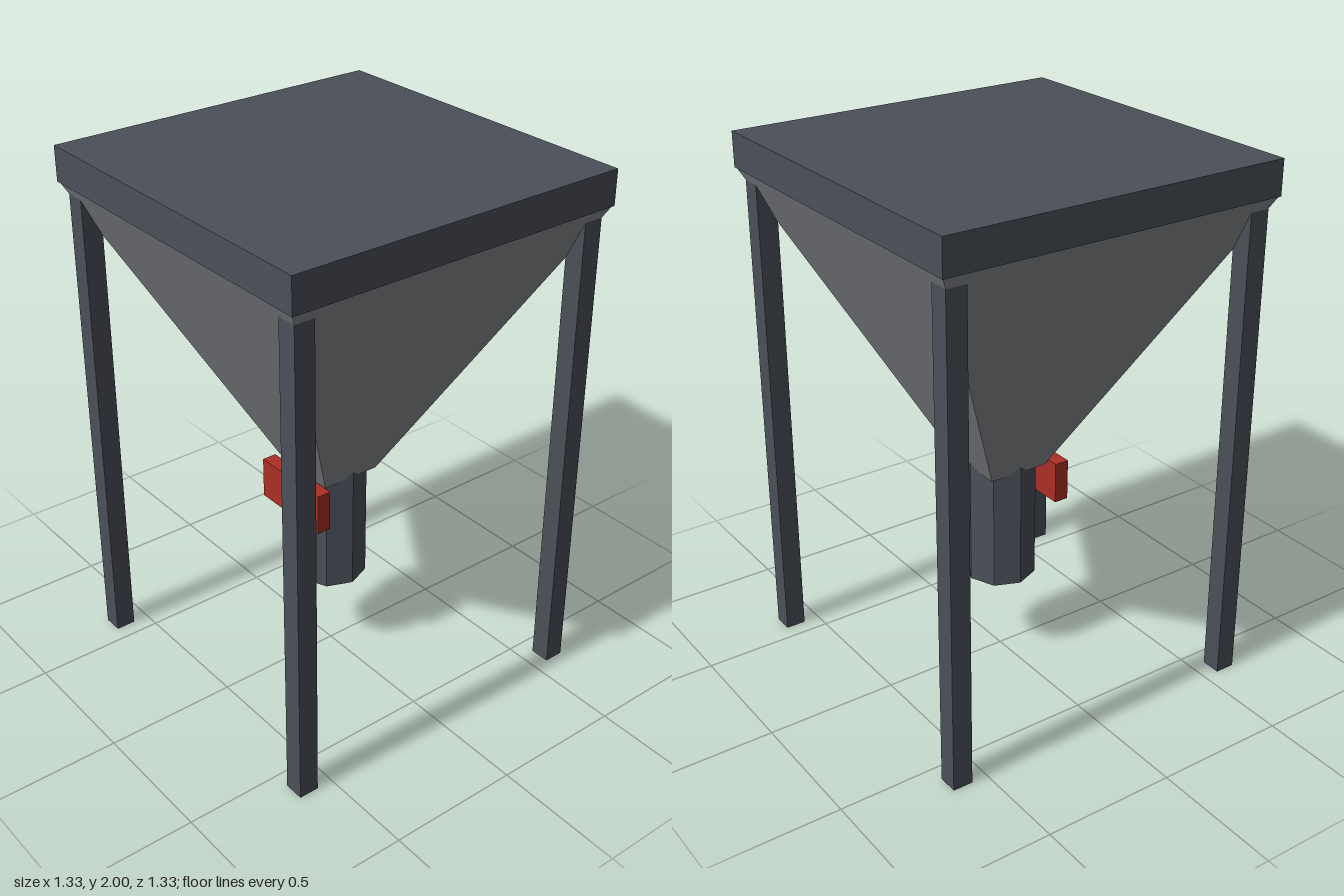
import * as THREE from 'three';

export function createModel() {
  const group = new THREE.Group();
  group.name = 'hopper';
  const darkSteel = new THREE.MeshStandardMaterial({ name: 'dark steel', color: 0x4b5059 });
  const paleSteel = new THREE.MeshStandardMaterial({ name: 'pale steel', color: 0x888b8f });
  const red = new THREE.MeshStandardMaterial({ name: 'red', color: 0xac3025 });

  const add = (name, geometry, material, x, y, z) => {
    const mesh = new THREE.Mesh(geometry, material);
    mesh.name = name;
    mesh.position.set(x, y, z);
    group.add(mesh);
    return mesh;
  };

  // Lid
  add('lid', new THREE.BoxGeometry(1.33, 0.13, 1.33), darkSteel, 0, 1.935, 0);

  // Square funnel: a box whose lower face is narrowed
  const topHalf = 0.66, bottomHalf = 0.117, funnelHeight = 1.07;
  const funnel = new THREE.BoxGeometry(2, funnelHeight, 2);
  const p = funnel.attributes.position;
  for (let i = 0; i < p.count; i++) {
    const half = p.getY(i) > 0 ? topHalf : bottomHalf;
    p.setX(i, p.getX(i) * half);
    p.setZ(i, p.getZ(i) * half);
  }
  funnel.computeVertexNormals();
  add('funnel', funnel, paleSteel, 0, 0.8 + funnelHeight / 2, 0);

  // Four legs
  const leg = new THREE.BoxGeometry(0.076, 1.83, 0.076);
  for (const x of [-0.6, 0.6]) {
    for (const z of [-0.6, 0.6]) add('leg', leg, darkSteel, x, 0.915, z);
  }

  // Eight-sided outlet pipe, its upper end inside the funnel
  const pipe = new THREE.CylinderGeometry(0.133, 0.133, 0.53, 8).toNonIndexed();
  pipe.computeVertexNormals();
  add('outletPipe', pipe, darkSteel, 0, 0.605, 0);

  // Gate plate on the front of the pipe
  add('gate', new THREE.BoxGeometry(0.33, 0.158, 0.056), red, 0, 0.737, 0.161);

  return group;
}
